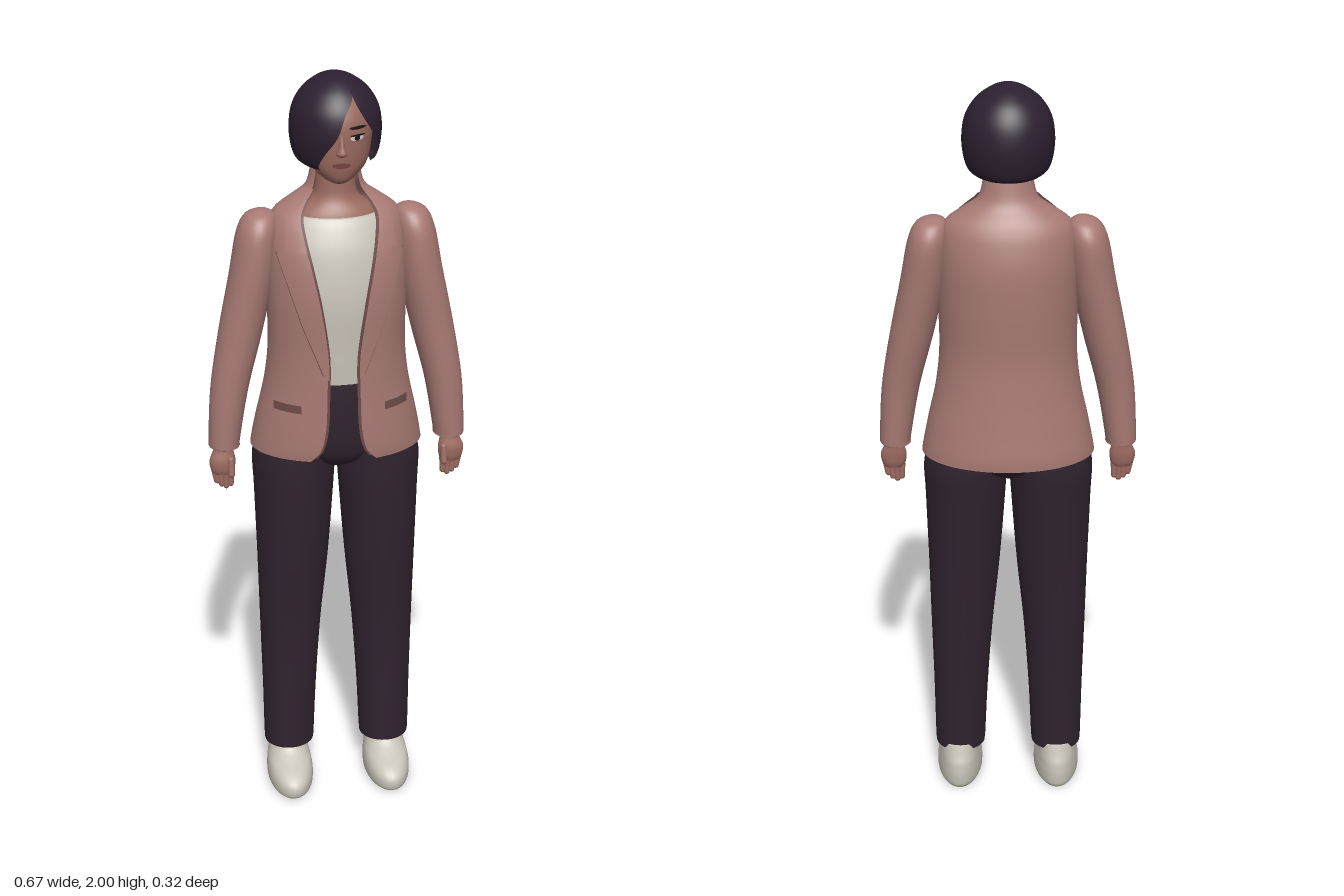
import * as THREE from 'three';
import { mergeVertices } from 'three/addons/utils/BufferGeometryUtils.js';

const mat = (name, color, side = THREE.FrontSide) => {
  const m = new THREE.MeshStandardMaterial({ color, side });
  m.name = name;
  return m;
};

// Row format: [y, centreX, halfWidth, zFront, zBack, startAngle, endAngle], bottom to top.
const FULL = Math.PI * 2;

// Smoothly subdivide a list of rows.
function smooth(rows, k = 5) {
  const out = [];
  for (let i = 0; i < rows.length - 1; i++) {
    const p = [rows[Math.max(i - 1, 0)], rows[i], rows[i + 1], rows[Math.min(i + 2, rows.length - 1)]];
    for (let j = 0; j < k; j++) {
      const t = j / k;
      out.push(p[1].map((b, c) => {
        const a = p[0][c], d = p[2][c], e = p[3][c];
        return b + 0.5 * t * (d - a + t * (2 * a - 5 * b + 4 * d - e + t * (3 * (b - d) + e - a)));
      }));
    }
  }
  out.push(rows[rows.length - 1]);
  return out;
}

// Skin a stack of elliptical rows; full rings are capped, partial ones stay open.
function loft(rows, seg = 32) {
  const pos = [], idx = [], open = rows[0].length > 5;
  rows.forEach(([y, cx, rx, zf, zb, a0 = 0, a1 = FULL]) => {
    for (let i = 0; i <= seg; i++) {
      const t = open || i < seg ? a0 + (a1 - a0) * i / seg : 0;
      pos.push(cx + rx * Math.sin(t), y, (zf + zb) / 2 + (zf - zb) / 2 * Math.cos(t));
    }
  });
  const n = seg + 1;
  for (let r = 0; r < rows.length - 1; r++) for (let i = 0; i < seg; i++) {
    const a = r * n + i, b = a + n;
    idx.push(a, a + 1, b, a + 1, b + 1, b);
  }
  if (!open) [0, rows.length - 1].forEach((r, end) => {
    const [y, cx, , zf, zb] = rows[r], c = pos.length / 3;
    pos.push(cx, y, (zf + zb) / 2);
    for (let i = 0; i < seg; i++) {
      const a = r * n + i;
      if (end) idx.push(a, a + 1, c); else idx.push(a + 1, a, c);
    }
  });
  return finish(pos, idx);
}

function finish(pos, idx) {
  let g = new THREE.BufferGeometry();
  g.setAttribute('position', new THREE.Float32BufferAttribute(pos, 3));
  g.setIndex(idx);
  g = mergeVertices(g, 1e-5);
  g.computeVertexNormals();
  return g;
}

// Interpolate a table by its first column.
function at(rows, y) {
  let i = 0;
  while (i < rows.length - 2 && rows[i + 1][0] < y) i++;
  const t = THREE.MathUtils.clamp((y - rows[i][0]) / (rows[i + 1][0] - rows[i][0]), 0, 1);
  return rows[i].map((v, c) => v + (rows[i + 1][c] - v) * t);
}

// Thin panel lying on the front of a lofted surface, between two edges x0(y) and x1(y).
function patch(rows, y0, y1, x0, x1, lift, s = 1, nu = 8, nv = 16) {
  const pos = [], idx = [];
  for (let v = 0; v <= nv; v++) {
    const y = y0 + (y1 - y0) * v / nv, [, , rx, zf, zb] = at(rows, y);
    for (let u = 0; u <= nu; u++) {
      const x = THREE.MathUtils.clamp(x0(y) + (x1(y) - x0(y)) * u / nu, -rx * 0.98, rx * 0.98);
      const z = (zf + zb) / 2 + (zf - zb) / 2 * Math.sqrt(1 - (x / rx) ** 2);
      pos.push(s * (x + lift * 0.5 * x / rx), y, z + lift);
      if (u < nu && v < nv) {
        const a = v * (nu + 1) + u, b = a + nu + 1;
        if (s > 0) idx.push(a, a + 1, b, a + 1, b + 1, b); else idx.push(a + 1, a, b, b + 1, a + 1, b);
      }
    }
  }
  return finish(pos, idx);
}

export function createModel() {
  const model = new THREE.Group();
  const D = THREE.DoubleSide;
  const jacketMat = mat('dusty rose cloth', 0xa87a74, D), trimMat = mat('dark rose trim', 0x6e4a47, D);
  const skinMat = mat('skin', 0x9c6b60), hairMat = mat('dark plum hair', 0x2c2030, D);
  const pantsMat = mat('plum trousers', 0x30232f), creamMat = mat('cream', 0xc9c5b9);
  const lipMat = mat('lips', 0x7c4642, D), whiteMat = mat('eye white', 0xd8d2cc, D), inkMat = mat('eye dark', 0x1c1518, D);
  const add = (name, geo, m) => {
    const mesh = new THREE.Mesh(geo, m);
    mesh.name = name;
    model.add(mesh);
    return mesh;
  };
  const mirror = (rows, s) => rows.map(([y, cx, ...r]) => [y, s * cx, ...r]);

  // Head and neck
  const head = smooth([
    [1.745, 0, 0.018, 0.07, 0.03], [1.757, 0, 0.042, 0.083, -0.02], [1.79, 0, 0.073, 0.092, -0.06],
    [1.84, 0, 0.086, 0.097, -0.09], [1.9, 0, 0.09, 0.095, -0.11], [1.95, 0, 0.07, 0.07, -0.095],
    [1.98, 0, 0.03, 0.03, -0.06]]);
  add('head', loft(head), skinMat);
  add('neck', loft(smooth([
    [1.6, 0, 0.13, 0.07, -0.1], [1.655, 0, 0.105, 0.054, -0.09], [1.69, 0, 0.062, 0.036, -0.07],
    [1.73, 0, 0.05, 0.03, -0.055], [1.82, 0, 0.05, 0.03, -0.06]])), skinMat);
  add('nose', loft(smooth([
    [1.818, 0, 0.006, 0.098, 0.08], [1.826, 0, 0.015, 0.112, 0.07], [1.845, 0, 0.009, 0.107, 0.07],
    [1.875, 0, 0.006, 0.098, 0.07]]), 12), skinMat);

  // Face details
  const oval = (name, cx, cy, w, h, lift, m, s) => {
    const half = y => w * Math.sqrt(Math.max(0, 1 - ((y - cy) / h) ** 2));
    add(name, patch(head, cy - h, cy + h, y => cx - half(y), y => cx + half(y), lift, s), m);
  };
  for (const s of [1, -1]) {
    oval('eyeWhite', 0.038, 1.864, 0.017, 0.007, 0.002, whiteMat, s);
    oval('iris', 0.038, 1.864, 0.007, 0.007, 0.003, inkMat, s);
    oval('upperLid', 0.039, 1.871, 0.019, 0.0025, 0.004, inkMat, s);
    oval('eyebrow', 0.04, 1.889, 0.022, 0.004, 0.003, inkMat, s);
  }
  oval('lips', 0, 1.797, 0.022, 0.007, 0.003, lipMat, 1);

  // Bob haircut, open over one side of the face
  const deg = Math.PI / 180;
  const hair = [
    [1.782, 0.085, 0.088, -0.115, 76, -36], [1.795, 0.1, 0.094, -0.125, 74, -32], [1.825, 0.11, 0.104, -0.135, 66, -22],
    [1.87, 0.114, 0.111, -0.141, 45, -6], [1.92, 0.106, 0.105, -0.134, 28, 4],
    [1.96, 0.082, 0.081, -0.112, 20.5, 19.5], [1.985, 0.05, 0.049, -0.08, 20, 20],
    [1.996, 0.025, 0.02, -0.05, 20, 20], [2, 0.001, -0.014, -0.016, 20, 20]
  ].map(([y, rx, zf, zb, a, b]) => [y, 0, rx, zf, zb, a * deg, FULL + b * deg]);
  add('hair', loft(smooth(hair), 48), hairMat);

  // Shirt
  add('shirt', loft(smooth([
    [1.2, 0, 0.15, 0.1, -0.11], [1.32, 0, 0.15, 0.108, -0.11], [1.45, 0, 0.155, 0.115, -0.12],
    [1.56, 0, 0.15, 0.1, -0.115], [1.625, 0, 0.13, 0.076, -0.105], [1.652, 0, 0.11, 0.058, -0.092]])), creamMat);

  // Jacket body, last column is the half width of the front opening
  const jacket = smooth([
    [1.03, 0.225, 0.145, -0.16, 0.085], [1.06, 0.22, 0.148, -0.16, 0.06], [1.12, 0.208, 0.148, -0.152, 0.046],
    [1.22, 0.186, 0.146, -0.14, 0.042], [1.32, 0.176, 0.145, -0.132, 0.042], [1.45, 0.178, 0.147, -0.138, 0.06],
    [1.55, 0.178, 0.133, -0.138, 0.08], [1.62, 0.172, 0.102, -0.125, 0.094], [1.66, 0.155, 0.076, -0.11, 0.097],
    [1.69, 0.115, 0.053, -0.092, 0.082], [1.72, 0.075, 0.035, -0.075, 0.06], [1.765, 0.062, 0.03, -0.064, 0.052]
  ].map(([y, rx, zf, zb, o]) => [y, 0, rx, zf, zb, Math.asin(o / rx), FULL - Math.asin(o / rx)]));
  add('jacketBody', loft(jacket, 56), jacketMat);
  const edge = y => { const r = at(jacket, y); return r[2] * Math.sin(r[5]); };
  const lapelEdge = y => at([[1.26, 0.046], [1.4, 0.1], [1.575, 0.155]], y)[1];
  const collarEdge = y => at([[1.585, 0.135], [1.66, 0.128], [1.72, 0.074]], y)[1];

  for (const s of [1, -1]) {
    // Jacket front details
    add('jacketEdge', patch(jacket, 1.04, 1.7, y => edge(y) - 0.007, y => edge(y) + 0.004, -0.003, s, 2, 40), trimMat);
    add('lapel', patch(jacket, 1.26, 1.575, y => edge(y) - 0.003, lapelEdge, 0.008, s), jacketMat);
    add('lapelSeam', patch(jacket, 1.27, 1.575, lapelEdge, y => lapelEdge(y) + 0.003, 0.004, s, 2), trimMat);
    add('collar', patch(jacket, 1.585, 1.72, y => edge(y) - 0.003, collarEdge, 0.009, s), jacketMat);
    add('pocket', patch(jacket, 1.163, 1.184, () => 0.106, () => 0.17, 0.004, s), trimMat);

    // Sleeve
    add('sleeve', loft(smooth(mirror([
      [1.04, 0.295, 0.04, 0.063, -0.03], [1.06, 0.295, 0.041, 0.064, -0.031], [1.2, 0.278, 0.049, 0.066, -0.038],
      [1.35, 0.246, 0.056, 0.067, -0.056], [1.5, 0.214, 0.057, 0.07, -0.072], [1.6, 0.199, 0.053, 0.064, -0.077],
      [1.645, 0.191, 0.042, 0.044, -0.06], [1.662, 0.186, 0.022, 0.018, -0.032], [1.666, 0.185, 0.003, 0, -0.01]], s))), jacketMat);

    // Hand with fingers and thumb
    add('palm', loft(smooth(mirror([
      [0.962, 0.302, 0.024, 0.04, 0.012], [0.975, 0.302, 0.031, 0.044, 0.007], [1.0, 0.302, 0.034, 0.045, 0.004],
      [1.03, 0.299, 0.025, 0.038, 0.004], [1.06, 0.297, 0.021, 0.035, 0]], s)), 20), skinMat);
    for (let i = 0; i < 4; i++) {
      const finger = add('finger', new THREE.CapsuleGeometry(0.008, 0.038, 4, 10), skinMat);
      finger.position.set(s * (0.281 + i * 0.0135), 0.95 + (i === 3 ? 0.01 : 0) - (i === 1 ? 0.006 : 0), 0.026);
      finger.rotation.z = s * (i - 2) * -0.08 - s * 0.12;
    }
    const thumb = add('thumb', new THREE.CapsuleGeometry(0.009, 0.04, 4, 10), skinMat);
    thumb.position.set(s * 0.281, 0.985, 0.043);
    thumb.rotation.x = -0.2;

    // Trouser leg
    add('trouserLeg', loft(smooth(mirror([
      [0.115, 0.134, 0.066, 0.064, -0.06], [0.13, 0.134, 0.069, 0.066, -0.063], [0.3, 0.131, 0.074, 0.067, -0.071],
      [0.5, 0.126, 0.083, 0.073, -0.085], [0.7, 0.118, 0.095, 0.09, -0.1], [0.9, 0.113, 0.105, 0.103, -0.12],
      [1.0, 0.111, 0.109, 0.106, -0.13], [1.08, 0.1, 0.098, 0.104, -0.125]], s))), pantsMat);

    // Shoe
    add('shoe', loft(smooth(mirror([
      [0, 0.137, 0.054, 0.15, -0.08], [0.012, 0.137, 0.062, 0.162, -0.087], [0.04, 0.137, 0.063, 0.162, -0.09],
      [0.062, 0.137, 0.06, 0.138, -0.089], [0.08, 0.137, 0.055, 0.095, -0.086], [0.1, 0.137, 0.051, 0.06, -0.078],
      [0.13, 0.136, 0.048, 0.045, -0.068]], s))), creamMat);
  }

  // Trouser top
  add('trouserTop', loft(smooth([
    [0.97, 0, 0.04, 0.04, -0.07], [1.0, 0, 0.12, 0.085, -0.11], [1.05, 0, 0.195, 0.106, -0.128],
    [1.14, 0, 0.178, 0.112, -0.124], [1.225, 0, 0.162, 0.11, -0.116]])), pantsMat);

  return model;
}
